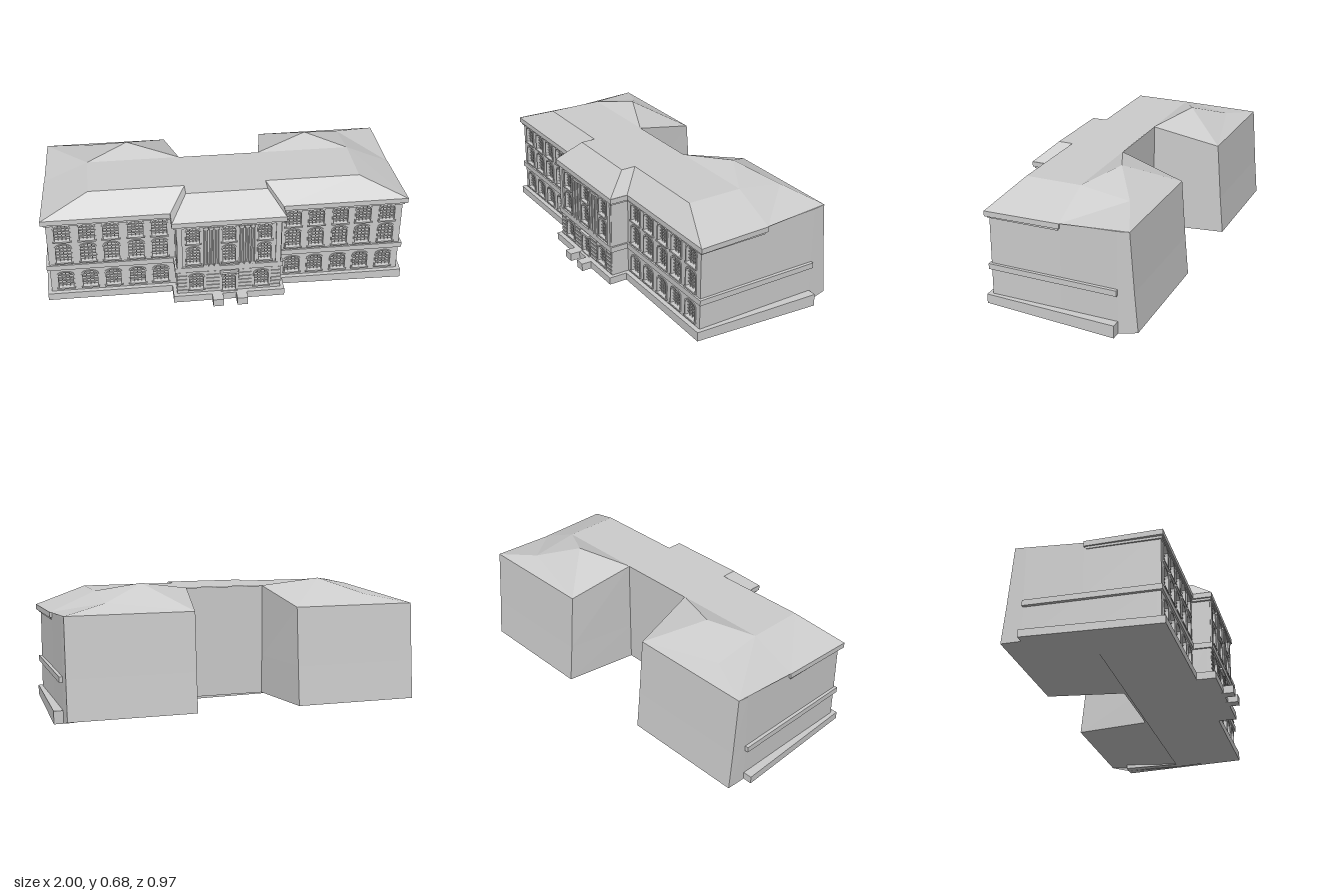
import * as THREE from 'three';

const grey = new THREE.MeshStandardMaterial({ color: 0xcccccc, flatShading: true });

function add(parent, name, geo, x = 0, y = 0, z = 0) {
  const m = new THREE.Mesh(geo, grey);
  m.name = name;
  m.position.set(x, y, z);
  parent.add(m);
  return m;
}

const box = (w, h, d) => new THREE.BoxGeometry(w, h, d);
const flip = ([x, ...r]) => [-x, ...r];

// Completes a half outline (x > 0, front to back) with its mirror image
const mirrored = half => [...half, ...half.map(flip).reverse()];

// Convex polygons to flat-shaded triangles
function fromFaces(faces) {
  const pos = [];
  for (const f of faces)
    for (let i = 1; i < f.length - 1; i++) pos.push(...f[0], ...f[i], ...f[i + 1]);
  const g = new THREE.BufferGeometry();
  g.setAttribute('position', new THREE.Float32BufferAttribute(pos, 3));
  g.computeVertexNormals();
  return g;
}

// Solid skinned through stacked rings of [x, y, z], closed top and bottom
function loft(rings) {
  const faces = [];
  const n = rings[0].length;
  for (let r = 0; r < rings.length - 1; r++)
    for (let i = 0; i < n; i++) {
      const j = (i + 1) % n;
      faces.push([rings[r][i], rings[r][j], rings[r + 1][j], rings[r + 1][i]]);
    }
  const low = rings[0], high = rings[rings.length - 1];
  const cap = ring => THREE.ShapeUtils.triangulateShape(
    ring.map(p => new THREE.Vector2(p[0], -p[2])), []);
  for (const [a, b, c] of cap(low)) faces.push([low[c], low[b], low[a]]);
  for (const [a, b, c] of cap(high)) faces.push([high[a], high[b], high[c]]);
  return fromFaces(faces);
}

// Horizontal slab from a half outline of [x, z]; base(x, z) gives the underside height
function slab(half, base, top) {
  const pts = mirrored(half);
  return loft([pts.map(([x, z]) => [x, base(x, z), z]), pts.map(([x, z]) => [x, top, z])]);
}

// Ground falls away towards the left end
const ground = (x, z) => {
  if (x < 0.5) return 0.03;
  return z > 0.2 ? 0.02 : z > -0.4 ? 0.003 : 0.03;
};

// Window outline with a shallow arched head
function archPath(P, cx, y, w, h) {
  const p = new P(), s = h * 0.72;
  p.moveTo(cx - w / 2, y);
  p.lineTo(cx + w / 2, y);
  p.lineTo(cx + w / 2, y + s);
  for (let i = 1; i <= 8; i++) {
    const a = i / 8 * Math.PI;
    p.lineTo(cx + Math.cos(a) * w / 2, y + s + Math.pow(Math.sin(a), 0.7) * (h - s));
  }
  p.closePath();
  return p;
}

// Pierced wall panel with trim, glazing bars and sills
function facade(parent, name, x0, x1, z, openings) {
  const g = new THREE.Group();
  g.name = name;
  const wall = new THREE.Shape();
  wall.moveTo(x0, 0.06);
  wall.lineTo(x1, 0.06);
  wall.lineTo(x1, 0.505);
  wall.lineTo(x0, 0.505);
  wall.closePath();
  for (const [x, y, w, h] of openings) wall.holes.push(archPath(THREE.Path, x, y, w, h));
  add(g, 'wallPanel', new THREE.ExtrudeGeometry(wall, { depth: 0.02, bevelEnabled: false }), 0, 0, z);
  for (const [x, y, w, h] of openings) {
    const trim = archPath(THREE.Shape, x, y - 0.002, w + 0.014, h + 0.009);
    trim.holes.push(archPath(THREE.Path, x, y, w, h));
    add(g, 'windowTrim', new THREE.ExtrudeGeometry(trim, { depth: 0.006, bevelEnabled: false }), 0, 0, z + 0.019);
    add(g, 'sill', box(w + 0.018, 0.008, 0.014), x, y - 0.004, z + 0.023);
    for (let i = 1; i < 4; i++)
      add(g, 'glazingBar', box(0.004, h * 0.92, 0.005), x + (i / 4 - 0.5) * w, y + h * 0.46, z + 0.007);
    for (let i = 1; i < 5; i++)
      add(g, 'glazingRail', box(w, 0.004, 0.005), x, y + h * 0.18 * i, z + 0.007);
  }
  parent.add(g);
}

export function createModel() {
  const model = new THREE.Group();
  model.name = 'building';

  // U-shaped body: rear walls lean outwards towards the ground
  const plan = rear => mirrored([[0.28, 0.385], [0.28, 0.285], [0.95, 0.285], [0.95, -0.08],
    [0.952, -0.38], [0.95, rear], [0.28, rear], [0.22, -0.08]]);
  const topY = (x, z) => z < -0.4 ? 0.55 : z < -0.3 ? 0.543
    : Math.abs(x) < 0.25 && z < 0 ? 0.633 : 0.528;
  add(model, 'body', loft([
    plan(-0.485).map(([x, z]) => [x, ground(x, z), z]),
    plan(-0.465).map(([x, z]) => [x, 0.24, z]),
    plan(-0.44).map(([x, z]) => [x, topY(x, z), z]),
  ]));

  // Plinth, floor band and cornice
  add(model, 'plinth', slab([[0.3, 0.43], [0.3, 0.33], [0.97, 0.33], [1.0, -0.38],
    [0.9, -0.38], [0.9, -0.06]], ground, 0.07));
  add(model, 'floorBand', slab([[0.29, 0.415], [0.29, 0.315], [0.965, 0.315], [0.97, -0.38],
    [0.9, -0.38], [0.9, -0.06]], () => 0.212, 0.242));
  add(model, 'lowerCornice', slab([[0.292, 0.413], [0.292, 0.313], [0.96, 0.313], [0.955, -0.07]],
    () => 0.49, 0.505));
  add(model, 'cornice', slab([[0.302, 0.42], [0.302, 0.32], [0.975, 0.32], [0.962, -0.08]],
    () => 0.502, 0.53));

  // Hipped roof with a flat deck and a peak over each rear wing
  const a = [0.3, 0.53, 0.42], b = [0.3, 0.53, 0.32], c = [0.972, 0.53, 0.32];
  const s = [0.96, 0.53, -0.08], rearOut = [0.95, 0.55, -0.44], rearIn = [0.28, 0.55, -0.44];
  const e = [0.22, 0.635, -0.08], g = [0.215, 0.635, 0.3], h = [0.215, 0.635, 0.22];
  const k = [0.72, 0.635, 0.22], d = [0.72, 0.635, -0.08], hip = [0.72, 0.597, -0.34];
  const peak = [0.5, 0.68, -0.2];
  const half = [[a, b, h, g], [b, c, k, h], [c, s, d, k], [s, rearOut, hip, d],
    [rearOut, rearIn, hip], [rearIn, peak, hip], [rearIn, e, peak], [e, d, peak], [d, hip, peak], [h, k, d, e]];
  add(model, 'roof', fromFaces([
    ...half,
    ...half.map(f => f.map(flip).reverse()),
    [flip(a), a, g, flip(g)],
    [flip(g), g, h, e, flip(e), flip(h)],
  ]));

  // Wing fronts: three rows of five windows each
  const rows = [[0.092, 0.097], [0.258, 0.108], [0.392, 0.098]];
  const columnsX = [0.36, 0.485, 0.615, 0.74, 0.87];
  for (const side of [1, -1]) {
    const openings = rows.flatMap(([y, ht]) => columnsX.map(x => [side * x, y, 0.08, ht]));
    const xs = [side * 0.28, side * 0.95].sort((p, q) => p - q);
    facade(model, side > 0 ? 'leftWingFront' : 'rightWingFront', xs[0], xs[1], 0.285, openings);
  }

  // Central pavilion front with door
  const centre = [[-0.175, 0.095, 0.075, 0.095], [0.175, 0.095, 0.075, 0.095], [0, 0.075, 0.07, 0.105]];
  for (const x of [-0.19, 0, 0.19])
    centre.push([x, 0.262, 0.068, 0.103], [x, 0.392, 0.068, 0.094]);
  facade(model, 'pavilionFront', -0.28, 0.28, 0.385, centre);

  // Columns, corner pilasters, masonry courses and step blocks
  const shaft = new THREE.CylinderGeometry(0.01, 0.012, 0.25, 10);
  for (const side of [1, -1]) {
    for (const x of [0.065, 0.095, 0.125]) {
      add(model, 'column', shaft, side * x, 0.367, 0.406);
      add(model, 'columnBase', box(0.027, 0.014, 0.02), side * x, 0.25, 0.408);
      add(model, 'capital', box(0.027, 0.014, 0.02), side * x, 0.484, 0.408);
    }
    add(model, 'pilaster', box(0.028, 0.25, 0.012), side * 0.262, 0.367, 0.407);
    for (let i = 0; i < 6; i++) {
      const y = 0.085 + i * 0.023;
      add(model, 'masonryCourse', box(0.05, 0.015, 0.008), side * 0.252, y, 0.406);
      add(model, 'masonryCourse', box(0.07, 0.015, 0.008), side * 0.087, y, 0.406);
    }
    add(model, 'stepBlock', box(0.057, 0.043, 0.065), side * 0.065, 0.049, 0.4525);
  }
  add(model, 'doorHood', box(0.1, 0.012, 0.02), 0, 0.194, 0.412);
  return model;
}
